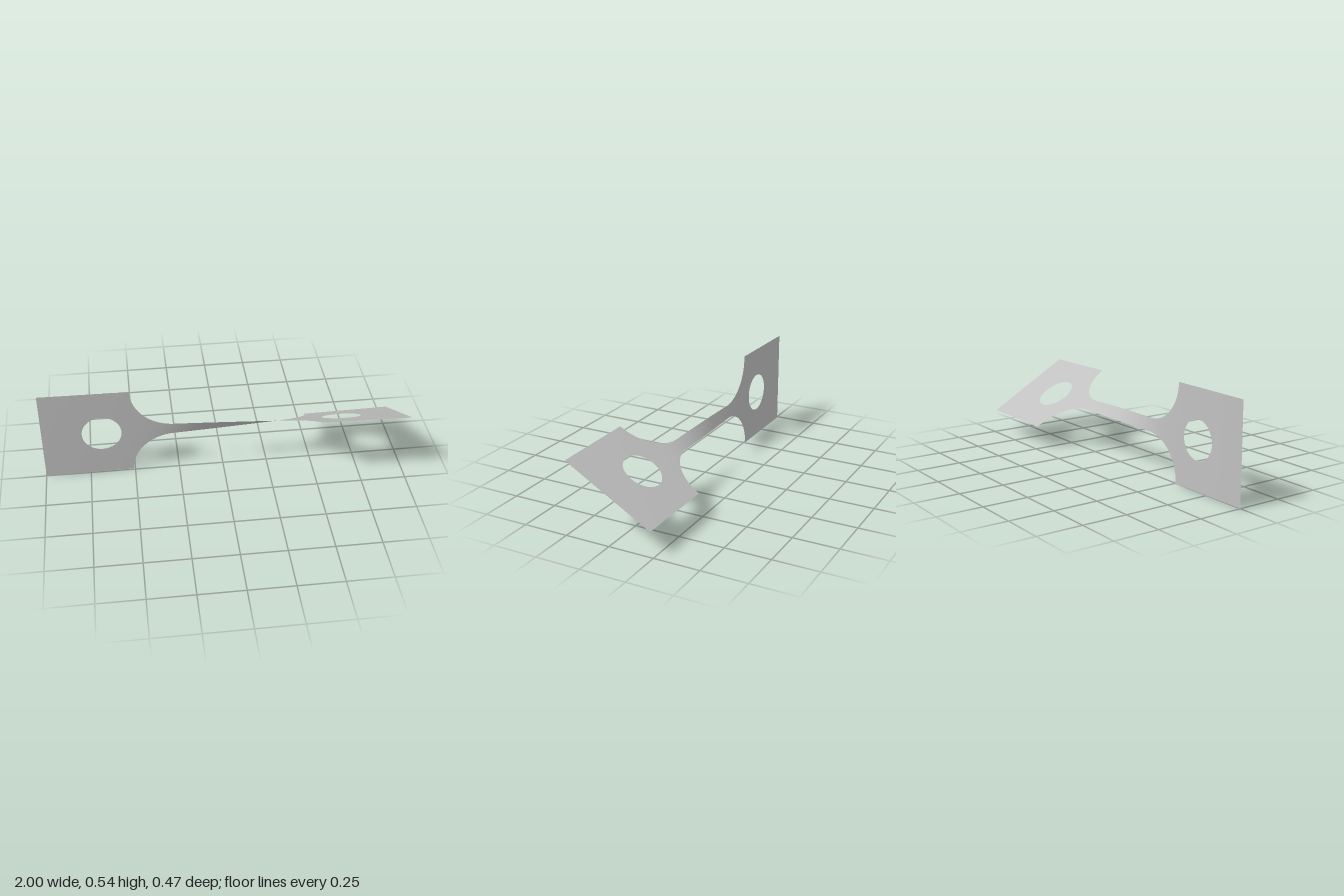
import * as THREE from 'three';

const MID_Y = 0.2715;        // height of the twist axis
const HALF = 0.2715;         // half width of the end plates
const R = 0.235;             // fillet radius
const NECK = 0.273;          // where the straight neck meets the fillets
const EDGE = NECK + R;       // inner edge of the end plates
const HOLE_X = 0.672, HOLE_R = 0.109;
const TWIST = Math.PI / 3;

// Half width of the strip at x
function outer(x) {
  const u = Math.abs(x) - NECK;
  if (u <= 0) return HALF - R;
  return u >= R ? HALF : HALF - Math.sqrt(R * R - u * u);
}

// Half height of the round hole at x
function inner(x) {
  const d = Math.abs(x) - HOLE_X;
  return Math.sqrt(Math.max(0, HOLE_R * HOLE_R - d * d));
}

// The strip twists most where it is narrow
const rate = (x) => Math.pow((HALF - R) / outer(x), 1.6);
function twistSum(x) {
  const n = 200, h = Math.abs(x) / n;
  let sum = 0;
  for (let i = 0; i < n; i++) sum += rate((i + 0.5) * h) * h;
  return Math.sign(x) * sum;
}
const K = TWIST / 2 / twistSum(1);
const angle = (x) => TWIST / 2 + K * twistSum(x);

// Samples from a to b, bunched towards both ends
function span(a, b, n) {
  return Array.from({ length: n + 1 }, (_, i) => a + (b - a) * (1 - Math.cos(Math.PI * i / n)) / 2);
}

// Twisted sheet through the given x stations, in an upper and a lower band
function sheet(name, xs, material) {
  const rows = 6, pos = [], nor = [], idx = [];
  for (const side of [-1, 1]) {
    const start = pos.length / 3;
    xs.forEach((x, i) => {
      const a = angle(x), c = Math.cos(a), s = Math.sin(a);
      const lo = side < 0 ? -outer(x) : inner(x);
      const hi = side < 0 ? -inner(x) : outer(x);
      for (let j = 0; j <= rows; j++) {
        const w = lo + (hi - lo) * j / rows;
        pos.push(x, MID_Y + w * c, w * s);
        const n = new THREE.Vector3(-w * K * rate(x), -s, c).normalize();
        nor.push(n.x, n.y, n.z);
        if (i && j) {
          const p = start + i * (rows + 1) + j, q = p - rows - 1;
          idx.push(q - 1, p - 1, p, q - 1, p, q);
        }
      }
    });
  }
  const g = new THREE.BufferGeometry();
  g.setAttribute('position', new THREE.Float32BufferAttribute(pos, 3));
  g.setAttribute('normal', new THREE.Float32BufferAttribute(nor, 3));
  g.setIndex(idx);
  const mesh = new THREE.Mesh(g, material);
  mesh.name = name;
  return mesh;
}

export function createModel() {
  const group = new THREE.Group();
  group.name = 'twistedStrip';
  const grey = new THREE.MeshStandardMaterial({ color: 0xc0c0c0, side: THREE.DoubleSide });
  grey.name = 'light grey';

  // Stations of one end plate, including the hole
  const plate = [
    EDGE,
    ...span(HOLE_X - HOLE_R, HOLE_X + HOLE_R, 32),
    0.85, 0.92, 1,
  ];
  const fillet = span(NECK, EDGE, 32);
  const mirror = (xs) => xs.map((x) => -x).reverse();

  group.add(sheet('leftEndPlate', plate, grey));
  group.add(sheet('rightEndPlate', mirror(plate), grey));
  group.add(sheet('leftFillet', fillet, grey));
  group.add(sheet('rightFillet', mirror(fillet), grey));
  group.add(sheet('twistedNeck', span(-NECK, NECK, 40), grey));
  return group;
}
